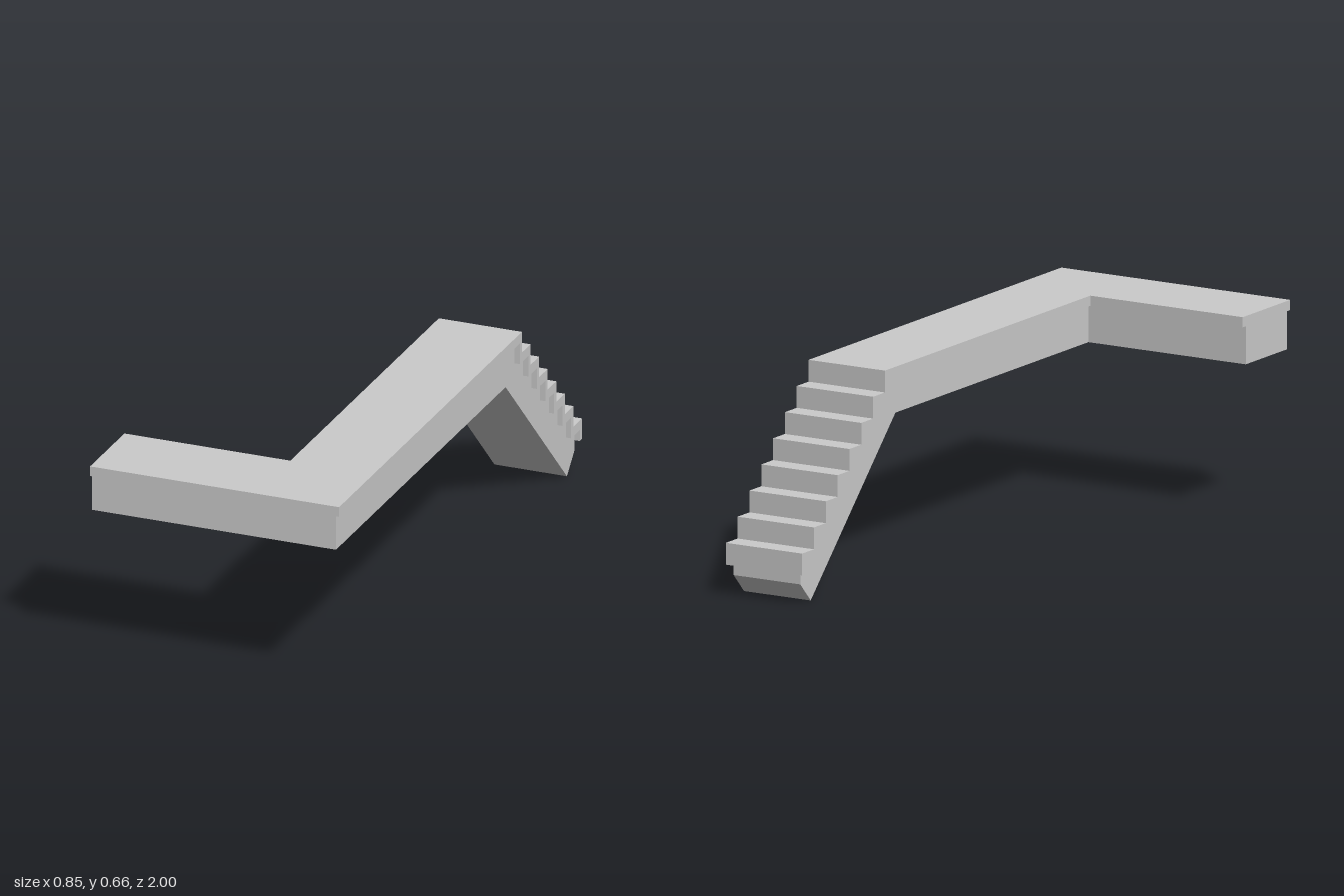
import * as THREE from 'three';

const STEPS = 7, STEP = 0.0705;      // equal rise and run
const TOP = 0.663, TREAD = 0.033;    // walking surface and tread thickness
const LIP = 0.018;                   // overhang of the covering past the base
const EDGE = -0.5065;                // z of the uppermost riser
const END_X = -0.424;                // open end of the side arm

// Stepped line going down the flight as [z, y] corners
function stairLine(z0, y0) {
  const pts = [];
  for (let i = 0; i <= STEPS; i++) {
    pts.push([z0 - i * STEP, y0 - i * STEP]);
    if (i < STEPS) pts.push([z0 - i * STEP, y0 - (i + 1) * STEP]);
  }
  return pts;
}

export function createModel() {
  const group = new THREE.Group();
  const material = new THREE.MeshStandardMaterial({ color: 0xcccccc, side: THREE.DoubleSide });

  const add = (name, geometry) => {
    const mesh = new THREE.Mesh(geometry, material);
    mesh.name = name;
    group.add(mesh);
  };

  // Side profile of [z, y] corners, extruded from x0 to x1
  const addProfile = (name, pts, x0, x1) => {
    const shape = new THREE.Shape(pts.map(([z, y]) => new THREE.Vector2(-z, y)));
    const geometry = new THREE.ExtrudeGeometry(shape, { depth: x1 - x0, bevelEnabled: false });
    add(name, geometry.rotateY(Math.PI / 2).translate(x0, 0, 0));
  };

  const addBox = (name, x0, x1, y0, y1, z0, z1) =>
    add(name, new THREE.BoxGeometry(x1 - x0, y1 - y0, z1 - z0)
      .translate((x0 + x1) / 2, (y0 + y1) / 2, (z0 + z1) / 2));

  const outer = stairLine(EDGE, TOP);
  const inner = stairLine(EDGE + LIP, TOP - TREAD);

  // Covering of the long walkway and its flight of treads
  addProfile('walkwayTreads', [
    [1, TOP], ...outer, [-1, 0.099], [-1 + LIP, 0.099],
    ...inner.slice().reverse(), [1, TOP - TREAD],
  ], 0.141, 0.424);

  // Supporting base under the walkway and stairs
  addProfile('walkwayBase', [
    [1 - LIP, TOP - TREAD], ...inner,
    [-1 + LIP, 0.064], [-0.92, 0], [-0.415, 0.507], [1 - LIP, 0.507],
  ], 0.159, 0.406);

  // Side arm at the front, flush at its open end
  addBox('armCover', END_X, 0.141, TOP - TREAD, TOP, 0.717, 1);
  addBox('armBase', END_X, 0.159, 0.507, TOP - TREAD, 0.717 + LIP, 1 - LIP);

  return group;
}
